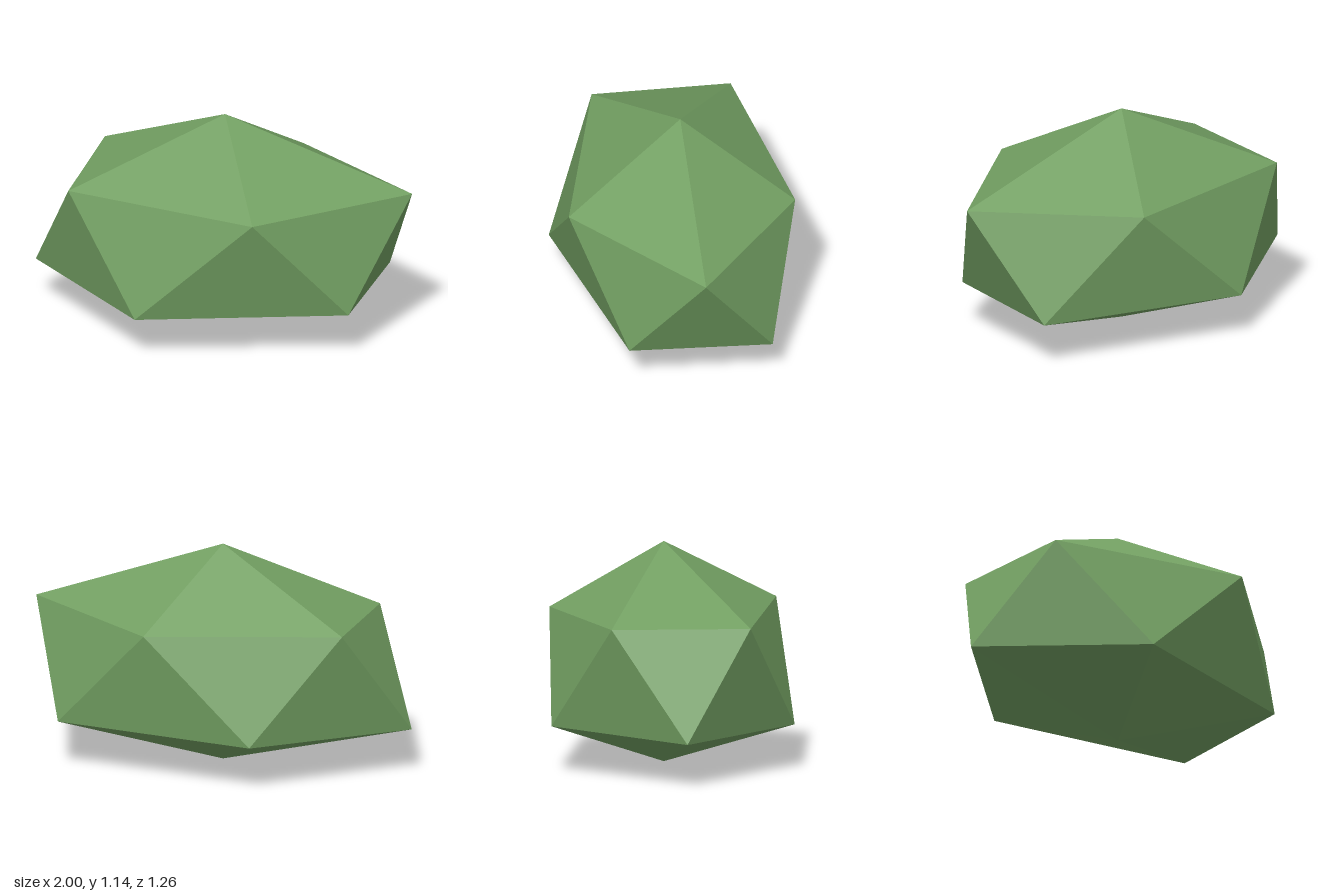
import * as THREE from 'three';

// A low-poly boulder: two staggered five-sided rings capped by a top and a bottom point.
export function createModel() {
  const group = new THREE.Group();
  group.name = 'boulder';

  const moss = new THREE.MeshStandardMaterial({ color: 0x729f62, flatShading: true });
  moss.name = 'mossGreen';

  const top = [0.005, 1.145, -0.01];
  const bottom = [0.005, 0, -0.01];
  // Both rings run from +x towards +z
  const upper = [
    [1, 0.805, -0.01], [0.31, 0.805, 0.61], [-0.735, 0.785, 0.35],
    [-0.725, 0.79, -0.37], [0.28, 0.775, -0.57],
  ];
  const lower = [
    [0.755, 0.25, 0.355], [-0.31, 0.225, 0.63], [-1, 0.225, -0.01],
    [-0.3, 0.235, -0.63], [0.785, 0.24, -0.385],
  ];

  // Cap, two side bands and base, one slice at a time
  const points = [];
  for (let i = 0; i < 5; i++) {
    const j = (i + 1) % 5;
    points.push(
      top, upper[j], upper[i],
      upper[i], upper[j], lower[i],
      upper[j], lower[j], lower[i],
      bottom, lower[i], lower[j],
    );
  }
  const geometry = new THREE.BufferGeometry();
  geometry.setAttribute('position', new THREE.Float32BufferAttribute(points.flat(), 3));
  geometry.computeVertexNormals();

  const rock = new THREE.Mesh(geometry, moss);
  rock.name = 'rock';
  group.add(rock);
  return group;
}
